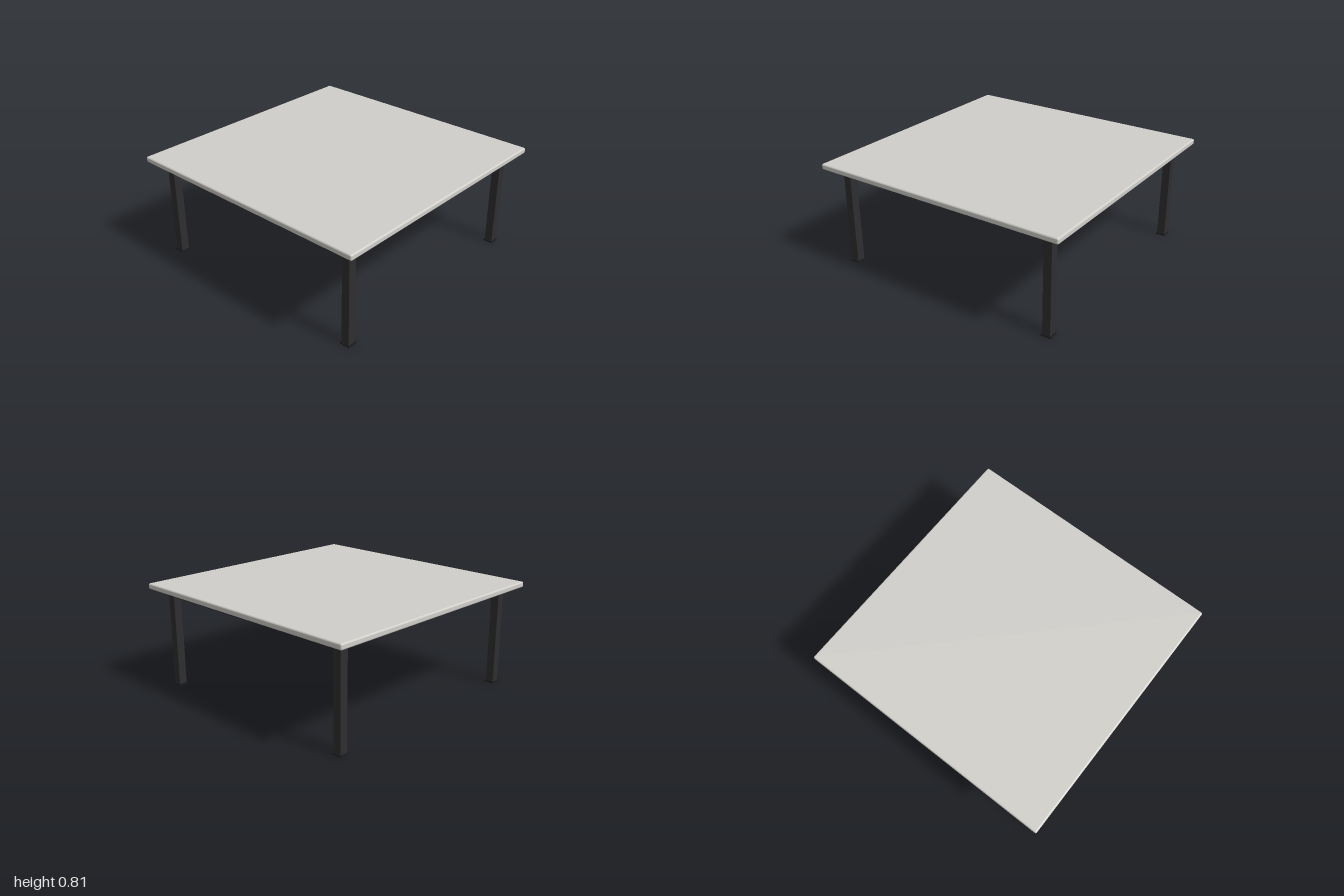
import * as THREE from 'three';
import { RoundedBoxGeometry } from 'three/addons/geometries/RoundedBoxGeometry.js';

const HEIGHT = 0.807, TOP_THICKNESS = 0.044;
const UNDERSIDE = HEIGHT - TOP_THICKNESS;
const LEG_POS = 0.862, LEG_WIDTH = 0.064;
const FOOT_HEIGHT = 0.01;

export function createModel() {
  const table = new THREE.Group();
  table.name = 'table';
  const stone = new THREE.MeshStandardMaterial({ color: 0xd0cfca });
  const metal = new THREE.MeshStandardMaterial({ color: 0x2e2e30 });
  const rubber = new THREE.MeshStandardMaterial({ color: 0x1c1c1e });

  const add = (name, geometry, material, x, y, z) => {
    const mesh = new THREE.Mesh(geometry, material);
    mesh.name = name;
    mesh.position.set(x, y, z);
    table.add(mesh);
    return mesh;
  };

  // Square slab with softened edges
  add('tabletop', new RoundedBoxGeometry(2, TOP_THICKNESS, 2, 4, 0.012), stone,
    0, HEIGHT - TOP_THICKNESS / 2, 0);

  // Four square legs, each on a slightly wider foot pad
  const legHeight = UNDERSIDE - FOOT_HEIGHT;
  const legGeometry = new RoundedBoxGeometry(LEG_WIDTH, legHeight, LEG_WIDTH, 2, 0.003);
  const footGeometry = new THREE.BoxGeometry(0.075, FOOT_HEIGHT, 0.075);
  for (const sx of [-1, 1]) {
    for (const sz of [-1, 1]) {
      const x = sx * LEG_POS, z = sz * LEG_POS;
      const label = (sz > 0 ? 'front' : 'back') + (sx > 0 ? 'Left' : 'Right');
      add(label + 'Leg', legGeometry, metal, x, FOOT_HEIGHT + legHeight / 2, z);
      add(label + 'Foot', footGeometry, rubber, x, FOOT_HEIGHT / 2, z);
    }
  }

  // Slim rails joining the legs just below the top
  const railLength = 2 * LEG_POS - LEG_WIDTH;
  const railGeometry = new RoundedBoxGeometry(railLength, 0.03, 0.03, 3, 0.007);
  ['frontRail', 'leftRail', 'backRail', 'rightRail'].forEach((name, i) => {
    const angle = i * Math.PI / 2;
    const rail = add(name, railGeometry, metal,
      Math.sin(angle) * LEG_POS, 0.714, Math.cos(angle) * LEG_POS);
    rail.rotation.y = angle;
  });

  return table;
}
